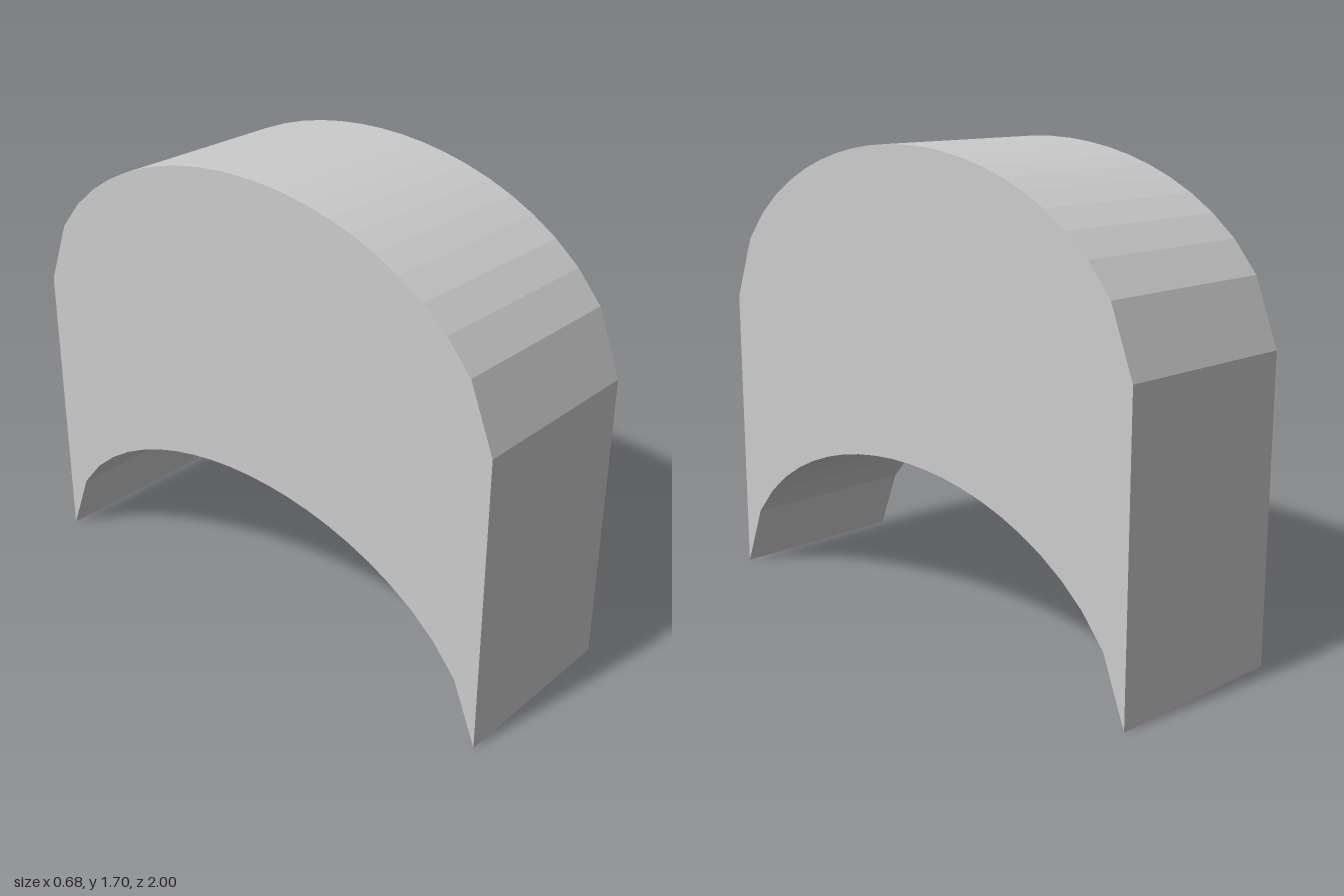
import * as THREE from 'three';

const SEGMENTS = 22;      // facets along the arch
const HALF_WIDTH = 0.342; // half thickness along x
const RISE = 0.623;       // height of the curve above its ends
const DEPTH = 1.075;      // vertical distance between the two curves

// Elliptical arc cut just short of its ends, scaled to run from 0 to RISE
function arcHeight(z) {
  const a = 1.004;
  const f = (t) => Math.sqrt(1 - (t / a) ** 2);
  return RISE * (f(z) - f(1)) / (1 - f(1));
}

export function createModel() {
  const group = new THREE.Group();
  group.name = 'archBlock';

  // Side profile: lower curve one way, the same curve raised on the way back
  const lower = [];
  for (let i = 0; i <= SEGMENTS; i++) {
    const z = -1 + (2 * i) / SEGMENTS;
    lower.push(new THREE.Vector2(z, arcHeight(z)));
  }
  const upper = lower.map((p) => new THREE.Vector2(p.x, p.y + DEPTH)).reverse();

  const geometry = new THREE.ExtrudeGeometry(new THREE.Shape([...lower, ...upper]), {
    depth: 2 * HALF_WIDTH,
    bevelEnabled: false,
  });
  geometry.translate(0, 0, -HALF_WIDTH);
  geometry.rotateY(Math.PI / 2);

  const arch = new THREE.Mesh(
    geometry,
    new THREE.MeshStandardMaterial({ color: 0xcccccc, flatShading: true })
  );
  arch.name = 'arch';
  group.add(arch);
  return group;
}
